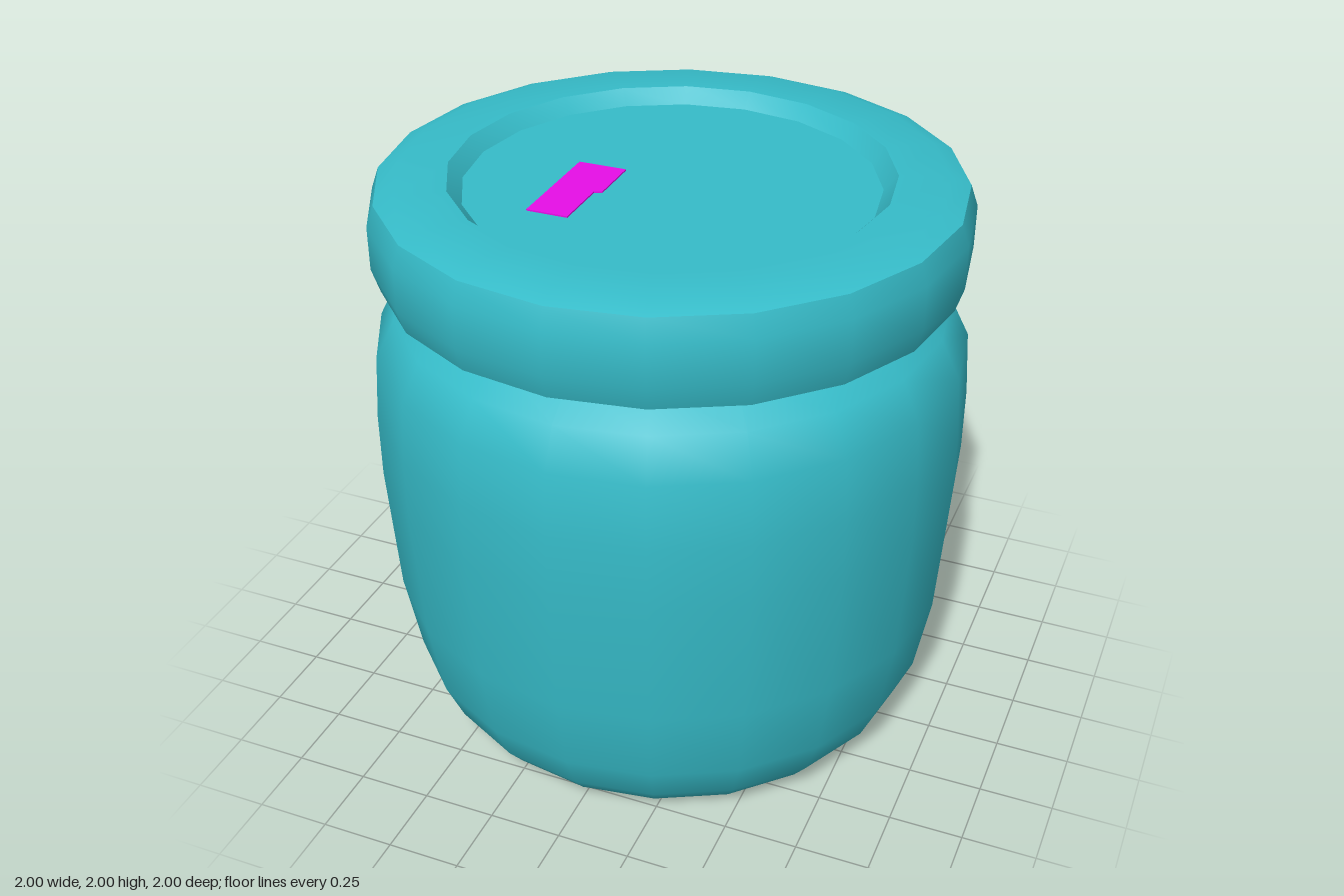
import * as THREE from 'three';
import { toCreasedNormals } from 'three/addons/utils/BufferGeometryUtils.js';

const SIDES = 20;
const STEP = (Math.PI * 2) / SIDES;

const teal = new THREE.MeshStandardMaterial({ color: 0x36bcc9 });
teal.name = 'teal';
const magenta = new THREE.MeshStandardMaterial({ color: 0xf810f8 });
magenta.name = 'magenta';

const toPoints = (list) => list.map(([r, y]) => new THREE.Vector2(r, y));

function part(name, geometry, material) {
  const mesh = new THREE.Mesh(geometry, material);
  mesh.name = name;
  return mesh;
}

// Section of the jar wall that the label and its mark follow
const wall = [[0.978, 0.65], [1.0, 1.0], [1.0, 1.22], [0.991, 1.37]];
const offsetWall = (from, gap) => toPoints(wall.slice(from).map(([r, y]) => [r + gap, y]));

export function createModel() {
  const group = new THREE.Group();
  group.name = 'jar';

  // Rounded jar body, closed at the bottom
  const body = new THREE.LatheGeometry(toPoints([
    [0, 0], [0.735, 0], [0.8, 0.045], [0.86, 0.12], [0.92, 0.26], [0.97, 0.54],
    [1.0, 1.0], [1.0, 1.22], [0.985, 1.44], [0.92, 1.57], [0.81, 1.655], [0.78, 1.67],
  ]), SIDES);
  group.add(part('body', body, teal));

  // Bevelled lid with a sunken top
  const lid = new THREE.LatheGeometry(toPoints([
    [0, 1.655], [0.89, 1.655], [0.95, 1.68], [0.975, 1.76], [0.975, 1.905],
    [0.95, 1.975], [0.885, 2], [0.72, 2], [0.675, 1.95], [0, 1.95],
  ]), SIDES);
  group.add(part('lid', toCreasedNormals(lid, 0.75), teal));

  // Label wrapped over two wall facets at the back
  const label = new THREE.LatheGeometry(offsetWall(0, 0.004), 2, Math.PI - STEP, STEP * 2);
  group.add(part('label', label, teal));

  // Coloured mark on the label: half of one facet, pulled in to lie flat on it
  const profile = offsetWall(1, 0.008);
  const mark = new THREE.LatheGeometry(profile, 1, Math.PI + STEP / 2, STEP / 2);
  const pos = mark.attributes.position;
  const flat = Math.cos(STEP / 2);
  for (let i = 0; i < profile.length; i++) {
    pos.setX(i, pos.getX(i) * flat);
    pos.setZ(i, pos.getZ(i) * flat);
  }
  group.add(part('labelMark', mark, magenta));

  // Coloured mark in the lid recess, drawn as x and -z then laid flat
  const outline = new THREE.Shape(toPoints([
    [-0.34, -0.36], [-0.2, -0.36], [-0.2, -0.16], [-0.175, -0.15], [-0.175, 0.035], [-0.34, 0.035],
  ]));
  const lidMark = new THREE.ExtrudeGeometry(outline, { depth: 0.005, bevelEnabled: false });
  lidMark.rotateX(-Math.PI / 2);
  lidMark.translate(0, 1.95, 0);
  group.add(part('lidMark', lidMark, magenta));

  return group;
}
